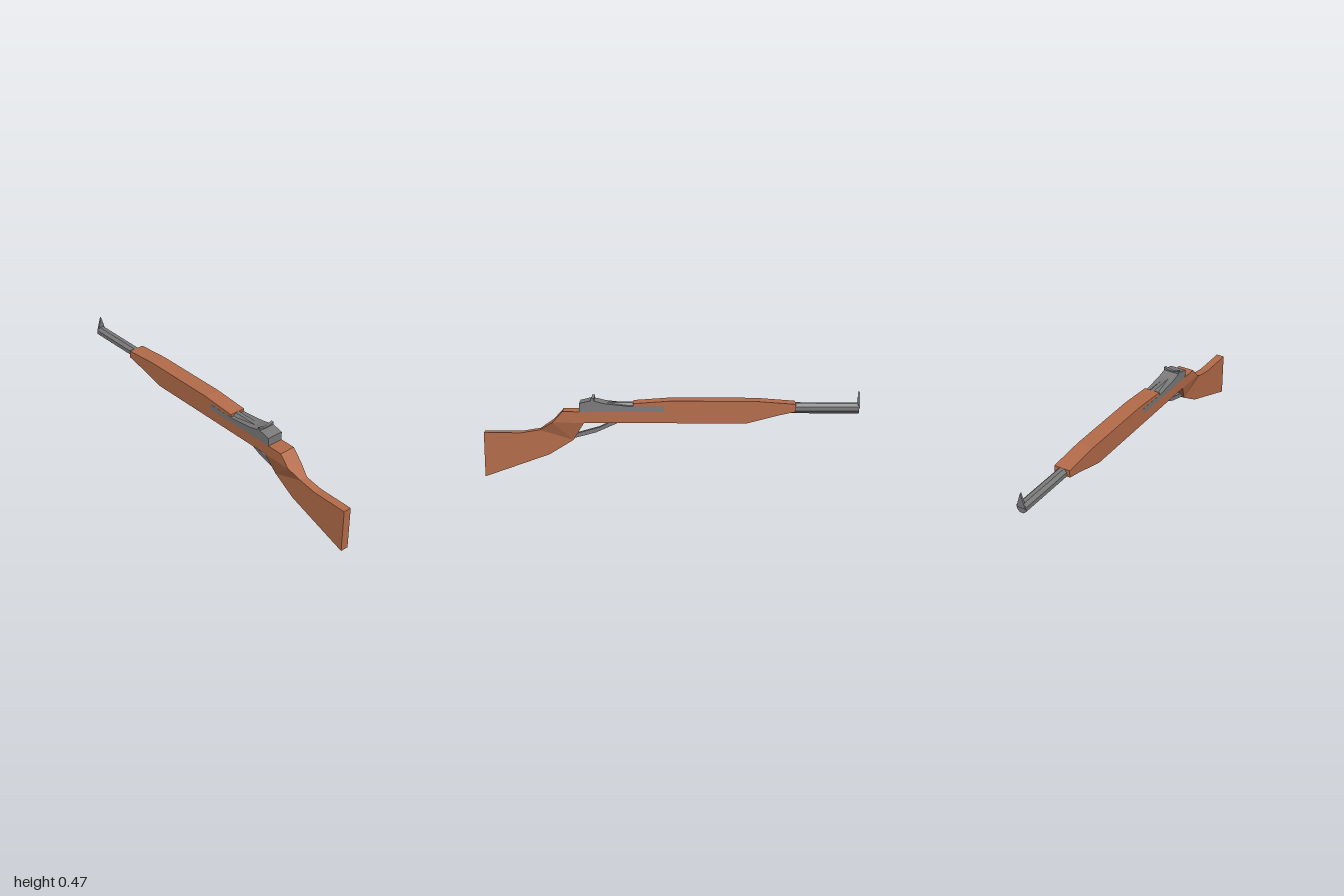
import * as THREE from 'three';
import { ConvexGeometry } from 'three/addons/geometries/ConvexGeometry.js';

const wood = new THREE.MeshStandardMaterial({ color: 0xb46c4a });
wood.name = 'wood';
const steel = new THREE.MeshStandardMaterial({ color: 0x7a7a7a });
steel.name = 'steel';

function part(name, geometry, material) {
  const mesh = new THREE.Mesh(geometry, material);
  mesh.name = name;
  return mesh;
}

function extrude(points, depth) {
  const shape = new THREE.Shape(points.map(([a, b]) => new THREE.Vector2(a, b)));
  return new THREE.ExtrudeGeometry(shape, { depth, bevelEnabled: false })
    .translate(0, 0, -depth / 2);
}

// Side profile given as [z, y], thickened across x
const slab = (points, halfWidth) => extrude(points, halfWidth * 2).rotateY(-Math.PI / 2);

export function createModel() {
  const group = new THREE.Group();
  group.name = 'rifle';

  // Narrow shoulder stock
  group.add(part('buttStock', slab([
    [1, 0], [0.65, 0.125], [0.52, 0.205], [0.7, 0.26], [0.8, 0.243], [1, 0.243],
  ], 0.0225), wood));

  // Flared wrist joining the narrow stock to the wide body
  const wrist = [];
  for (const s of [-1, 1]) {
    for (const [z, y, w] of [
      [0.7, 0.26, 0.0225], [0.52, 0.205, 0.0225], [0.63, 0.305, 0.045], [0.46, 0.305, 0.045],
    ]) wrist.push(new THREE.Vector3(s * w, y, z));
  }
  group.add(part('wrist', new ConvexGeometry(wrist), wood));

  // Long body with the raised hand guard
  group.add(part('foreStock', slab([
    [0.63, 0.305], [0.575, 0.365], [0.2, 0.365], [0.2, 0.41], [0, 0.425],
    [-0.45, 0.425], [-0.66, 0.41], [-0.66, 0.37], [-0.57, 0.35], [-0.4, 0.305],
  ], 0.045), wood));

  // Receiver, with its side plates running on along the body
  group.add(part('receiver', slab([
    [0.485, 0.365], [0.485, 0.41], [0.42, 0.426], [0.35, 0.409],
    [0.22, 0.395], [0.035, 0.395], [0.035, 0.365],
  ], 0.0455), steel));

  // Eight sided barrel
  const barrel = new THREE.CylinderGeometry(0.0295, 0.0295, 1.345, 8, 1, false, Math.PI / 8)
    .toNonIndexed().rotateX(Math.PI / 2);
  barrel.computeVertexNormals();
  barrel.translate(0, 0.382, -0.3225);
  group.add(part('barrel', barrel, steel));

  // Pointed front sight
  group.add(part('frontSight', extrude([
    [-0.026, 0.385], [0.026, 0.385], [0, 0.47],
  ], 0.01).translate(0, 0, -0.995), steel));

  // Rear sight with raised ears
  group.add(part('rearSight', extrude([
    [-0.0455, 0.415], [0.0455, 0.415], [0.0455, 0.44], [0.012, 0.429],
    [-0.012, 0.429], [-0.0455, 0.44],
  ], 0.016).translate(0, 0, 0.415), steel));

  // Trigger guard bar under the body
  group.add(part('triggerGuard', slab([
    [0.56, 0.235], [0.52, 0.213], [0.4, 0.245], [0.26, 0.308],
    [0.31, 0.308], [0.38, 0.274], [0.5, 0.24],
  ], 0.014), steel));

  return group;
}
